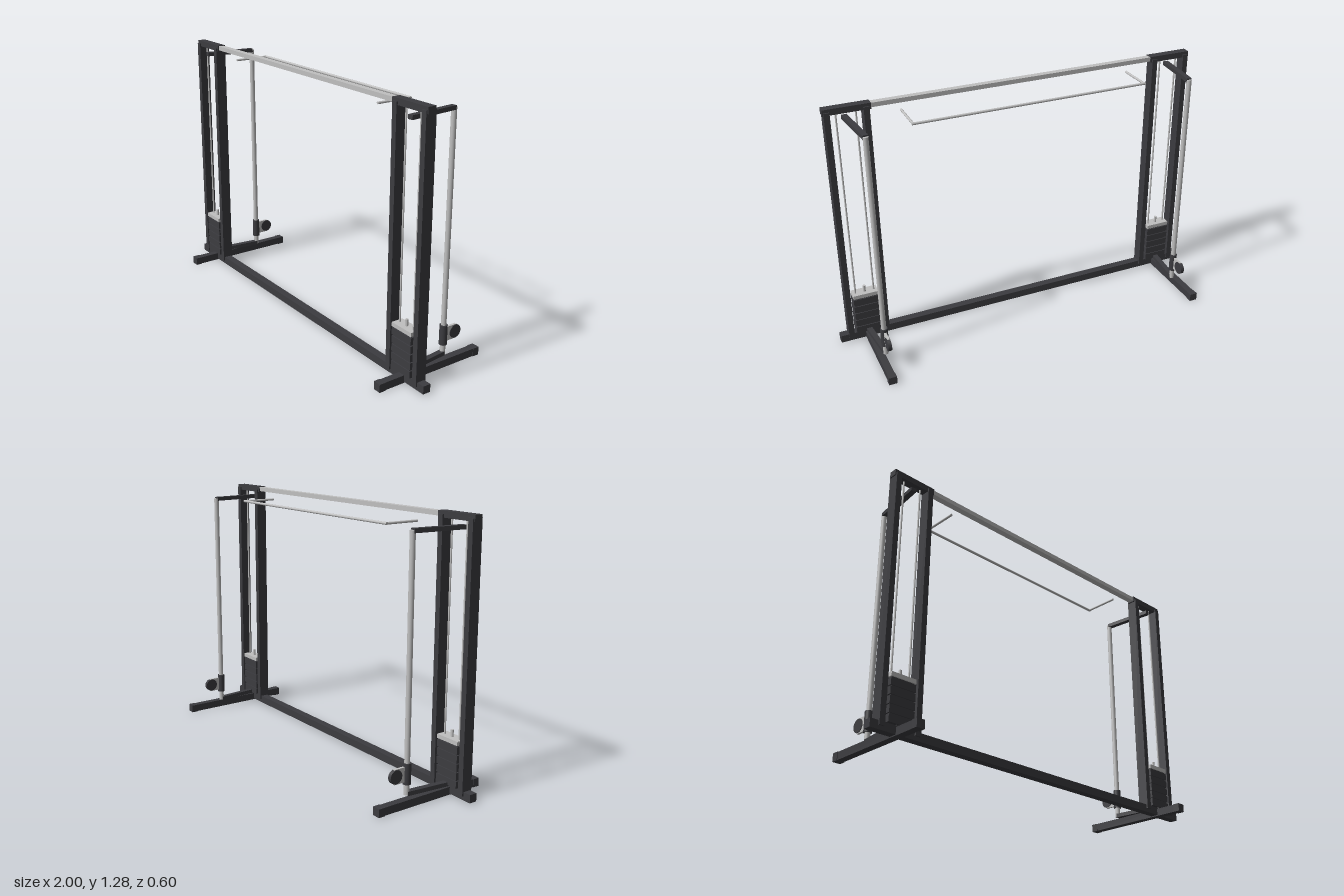
import * as THREE from 'three';

const dark = new THREE.MeshStandardMaterial({ color: 0x3c3c40 });
dark.name = 'dark steel';
const light = new THREE.MeshStandardMaterial({ color: 0xc0c0c0 });
light.name = 'bright steel';

const FRAME_Z = 0.137;

function add(parent, name, geometry, material, x, y, z) {
  const mesh = new THREE.Mesh(geometry, material);
  mesh.name = name;
  mesh.position.set(x, y, z);
  parent.add(mesh);
  return mesh;
}

// box given by its extents on each axis
function box(parent, name, material, [x0, x1], [y0, y1], [z0, z1]) {
  return add(parent, name, new THREE.BoxGeometry(x1 - x0, y1 - y0, z1 - z0), material,
    (x0 + x1) / 2, (y0 + y1) / 2, (z0 + z1) / 2);
}

// upright round bar
function rod(parent, name, material, r, x, y0, y1, z, sides = 16) {
  return add(parent, name, new THREE.CylinderGeometry(r, r, y1 - y0, sides), material, x, (y0 + y1) / 2, z);
}

// one weight tower; s is the side, +1 for the model's left
function tower(s) {
  const g = new THREE.Group();
  g.name = s > 0 ? 'leftTower' : 'rightTower';
  const cx = s * 0.853;

  // foot with slightly thicker end caps
  box(g, 'foot', dark, [cx - 0.018, cx + 0.018], [0.001, 0.039], [-0.294, 0.294]);
  for (const e of [-1, 1]) {
    add(g, 'footCap', new THREE.BoxGeometry(0.041, 0.04, 0.034), dark, cx, 0.02, e * 0.281);
  }

  // pair of uprights and the header joining them
  for (const x of [0.761, 0.945]) {
    add(g, 'upright', new THREE.BoxGeometry(0.028, 1.242, 0.055), dark, s * x, 0.646, FRAME_Z);
  }
  add(g, 'header', new THREE.BoxGeometry(0.226, 0.03, 0.042), dark, s * 0.851, 1.267, FRAME_Z);

  // weight stack with recessed gaps
  const pitch = 0.041;
  for (let i = 0; i < 5; i++) {
    const y = 0.048 + i * pitch;
    box(g, 'weightPlate', dark, [cx - 0.065, cx + 0.065], [y, y + 0.034], [0.108, 0.167]);
    box(g, 'plateSpacer', dark, [cx - 0.058, cx + 0.058], [y + 0.034, y + pitch], [0.113, 0.162]);
  }
  box(g, 'topPlate', light, [cx - 0.065, cx + 0.065], [0.252, 0.272], [0.107, 0.168]);
  rod(g, 'selectorStem', light, 0.007, cx, 0.27, 0.305, FRAME_Z);
  for (const e of [-1, 1]) {
    rod(g, 'guideRod', light, 0.0045, cx + e * 0.047, 0.04, 1.255, FRAME_Z, 12);
  }

  // slanted arms that carry the pulley column
  const front = new THREE.Vector3(s * 0.858, 0, 0.16);
  const back = new THREE.Vector3(s * 0.83, 0, -0.107);
  const mid = front.clone().add(back).multiplyScalar(0.5);
  for (const [name, y] of [['lowerArm', 0.052], ['upperArm', 1.219]]) {
    const arm = add(g, name, new THREE.BoxGeometry(0.027, 0.02, front.distanceTo(back)), dark, mid.x, y, mid.z);
    arm.rotation.y = Math.atan2(front.x - back.x, front.z - back.z);
  }
  rod(g, 'pulleyColumn', light, 0.013, back.x, 0.045, 1.222, back.z, 20);

  // sliding carriage and pulley
  rod(g, 'carriageSleeve', dark, 0.019, back.x, 0.096, 0.195, back.z, 20);
  box(g, 'pulleyBracket', light, [back.x - 0.006, back.x + 0.006], [0.109, 0.18], [-0.182, -0.12]);
  const wheel = add(g, 'pulleyWheel', new THREE.CylinderGeometry(0.033, 0.033, 0.018, 28), dark, back.x, 0.145, -0.174);
  wheel.rotation.z = Math.PI / 2;
  return g;
}

export function createModel() {
  const model = new THREE.Group();
  model.name = 'cableCrossoverMachine';

  // floor beam and top crossbar between the towers
  box(model, 'floorBeam', dark, [-1, 1], [0.006, 0.045], [0.117, 0.157]);
  box(model, 'crossbar', light, [-0.745, 0.745], [1.257, 1.279], [0.121, 0.153]);

  // pull-up bar with its two side arms
  const bar = add(model, 'pullUpBar', new THREE.CylinderGeometry(0.0065, 0.0065, 1.208, 14), light, 0, 1.222, -0.059);
  bar.rotation.z = Math.PI / 2;
  for (const s of [-1, 1]) {
    const arm = add(model, 'pullUpArm', new THREE.CylinderGeometry(0.006, 0.006, 0.182, 14), light, s * 0.598, 1.222, 0.031);
    arm.rotation.x = Math.PI / 2;
    model.add(tower(s));
  }
  return model;
}
